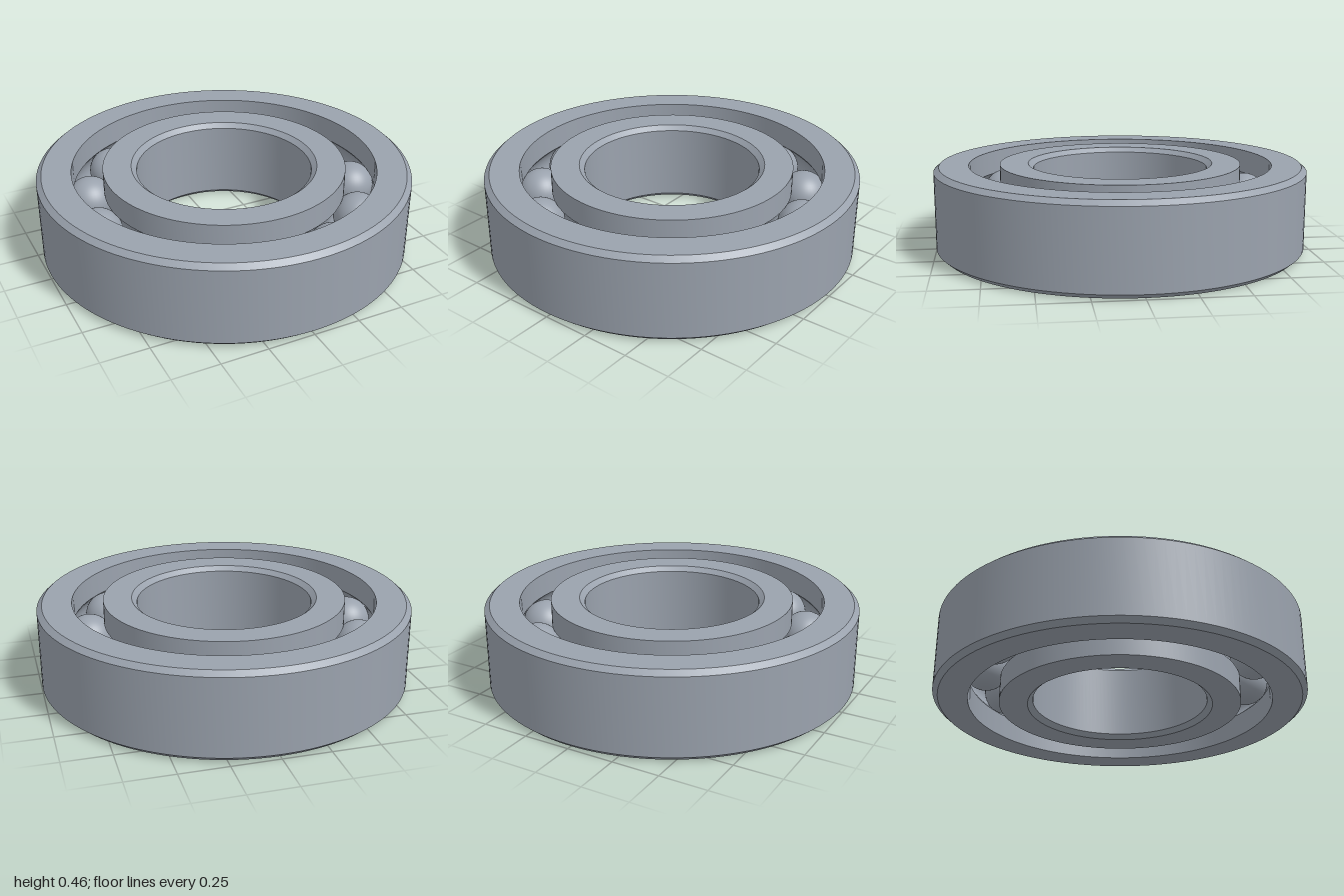
import * as THREE from 'three';
import { toCreasedNormals } from 'three/addons/utils/BufferGeometryUtils.js';

const HEIGHT = 0.46, MID = HEIGHT / 2;
const CHAMFER_R = 0.028, CHAMFER_Y = 0.025;
const PITCH = 0.733, BALL_R = 0.128, BALLS = 13;
const OUTER_R = 1, BORE_R = 0.47, OUTER_LIP = 0.815, INNER_LIP = 0.65;

// Arc of the ball groove cut into a race wall of radius lip, from startY side to the other
function groove(lip, upward) {
  const r = BALL_R + 0.001, side = Math.sign(lip - PITCH);
  const half = Math.acos(Math.abs(lip - PITCH) / r), steps = 14, pts = [];
  for (let i = 0; i <= steps; i++) {
    const a = (upward ? -1 : 1) * half * (1 - 2 * i / steps);
    pts.push([PITCH + side * r * Math.cos(a), MID + r * Math.sin(a)]);
  }
  return pts;
}

// Closed ring from a counterclockwise (radius, height) section
function ring(name, section, material) {
  const pts = [...section, section[0]].map(([r, y]) => new THREE.Vector2(r, y));
  const geo = toCreasedNormals(new THREE.LatheGeometry(pts, 128), 0.5);
  const mesh = new THREE.Mesh(geo, material);
  mesh.name = name;
  return mesh;
}

export function createModel() {
  const group = new THREE.Group();
  group.name = 'ballBearing';
  const steel = new THREE.MeshStandardMaterial({ color: 0x9aa2ad });
  steel.name = 'steel';

  // Outer ring: chamfered outside, grooved inside
  group.add(ring('outerRing', [
    [OUTER_LIP, 0],
    [OUTER_R - CHAMFER_R, 0], [OUTER_R, CHAMFER_Y],
    [OUTER_R, HEIGHT - CHAMFER_Y], [OUTER_R - CHAMFER_R, HEIGHT],
    [OUTER_LIP, HEIGHT],
    ...groove(OUTER_LIP, false),
  ], steel));

  // Inner ring: chamfered bore, grooved outside
  group.add(ring('innerRing', [
    [INNER_LIP, 0],
    ...groove(INNER_LIP, true),
    [INNER_LIP, HEIGHT],
    [BORE_R + CHAMFER_R, HEIGHT], [BORE_R, HEIGHT - CHAMFER_Y],
    [BORE_R, CHAMFER_Y], [BORE_R + CHAMFER_R, 0],
  ], steel));

  // Balls spaced evenly in the race
  const balls = new THREE.Group();
  balls.name = 'balls';
  const ballGeo = new THREE.SphereGeometry(BALL_R, 40, 28);
  for (let i = 0; i < BALLS; i++) {
    const a = THREE.MathUtils.degToRad(12) + i * 2 * Math.PI / BALLS;
    const ball = new THREE.Mesh(ballGeo, steel);
    ball.name = `ball${i + 1}`;
    ball.position.set(PITCH * Math.cos(a), MID, PITCH * Math.sin(a));
    balls.add(ball);
  }
  group.add(balls);
  return group;
}
